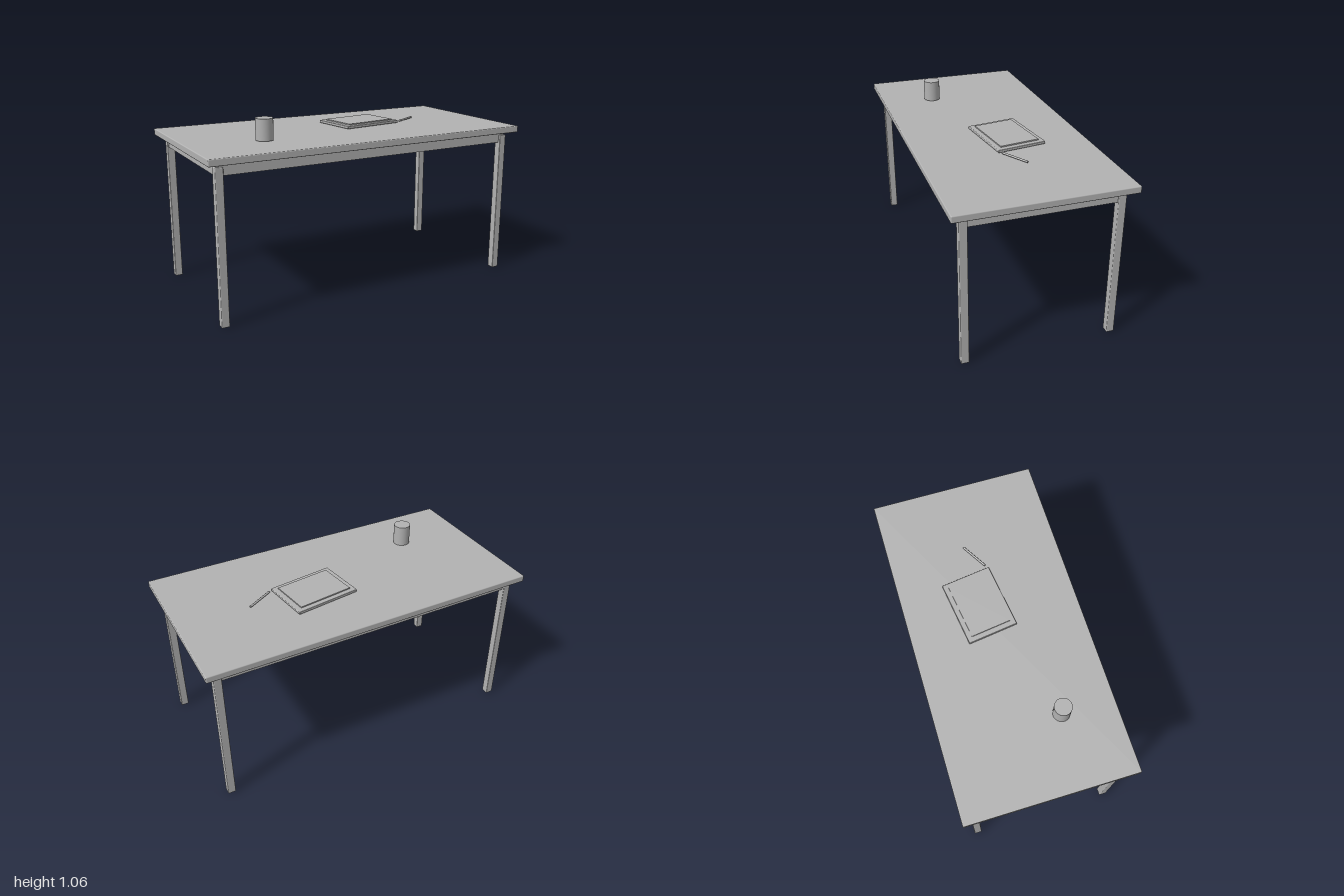
import * as THREE from 'three';
import { RoundedBoxGeometry } from 'three/addons/geometries/RoundedBoxGeometry.js';

export function createModel() {
  const model = new THREE.Group();
  model.name = 'desk';
  const grey = new THREE.MeshStandardMaterial({ color: 0xb2b2b2 });
  grey.name = 'plain grey';

  const add = (name, geometry, x, y, z, parent = model) => {
    const mesh = new THREE.Mesh(geometry, grey);
    mesh.name = name;
    mesh.position.set(x, y, z);
    parent.add(mesh);
    return mesh;
  };
  const rounded = (w, h, d, r) => new RoundedBoxGeometry(w, h, d, 2, r);

  // Table top over a solid recessed frame
  add('tableTop', rounded(2, 0.04, 1, 0.006), 0, 0.915, 0);
  add('frame', new THREE.BoxGeometry(1.88, 0.07, 0.87), 0, 0.864, 0);

  // Legs, standing slightly proud of the frame
  const legGeometry = rounded(0.046, 0.876, 0.046, 0.005);
  for (const x of [-1, 1]) {
    for (const z of [-1, 1]) {
      add(`${z > 0 ? 'front' : 'back'}${x > 0 ? 'Left' : 'Right'}Leg`, legGeometry, x * 0.926, 0.438, z * 0.426);
    }
  }

  // Cup
  add('cup', new THREE.CylinderGeometry(0.05, 0.05, 0.124, 32), -0.566, 1.002, 0.188);

  // Notebook: cover with a smaller block of pages on it
  const notebook = new THREE.Group();
  notebook.name = 'notebook';
  notebook.position.set(0.185, 0.938, -0.063);
  notebook.rotation.y = 0.137;
  model.add(notebook);
  add('cover', rounded(0.396, 0.017, 0.298, 0.004), 0, 0.0085, 0, notebook);
  add('pages', new THREE.BoxGeometry(0.335, 0.008, 0.24), 0, 0.02, 0, notebook);

  // Pen lying beside the notebook
  const penGeometry = new THREE.CylinderGeometry(0.006, 0.006, 0.175, 16).rotateZ(Math.PI / 2);
  add('pen', penGeometry, 0.497, 0.946, -0.003).rotation.y = 0.53;

  return model;
}
